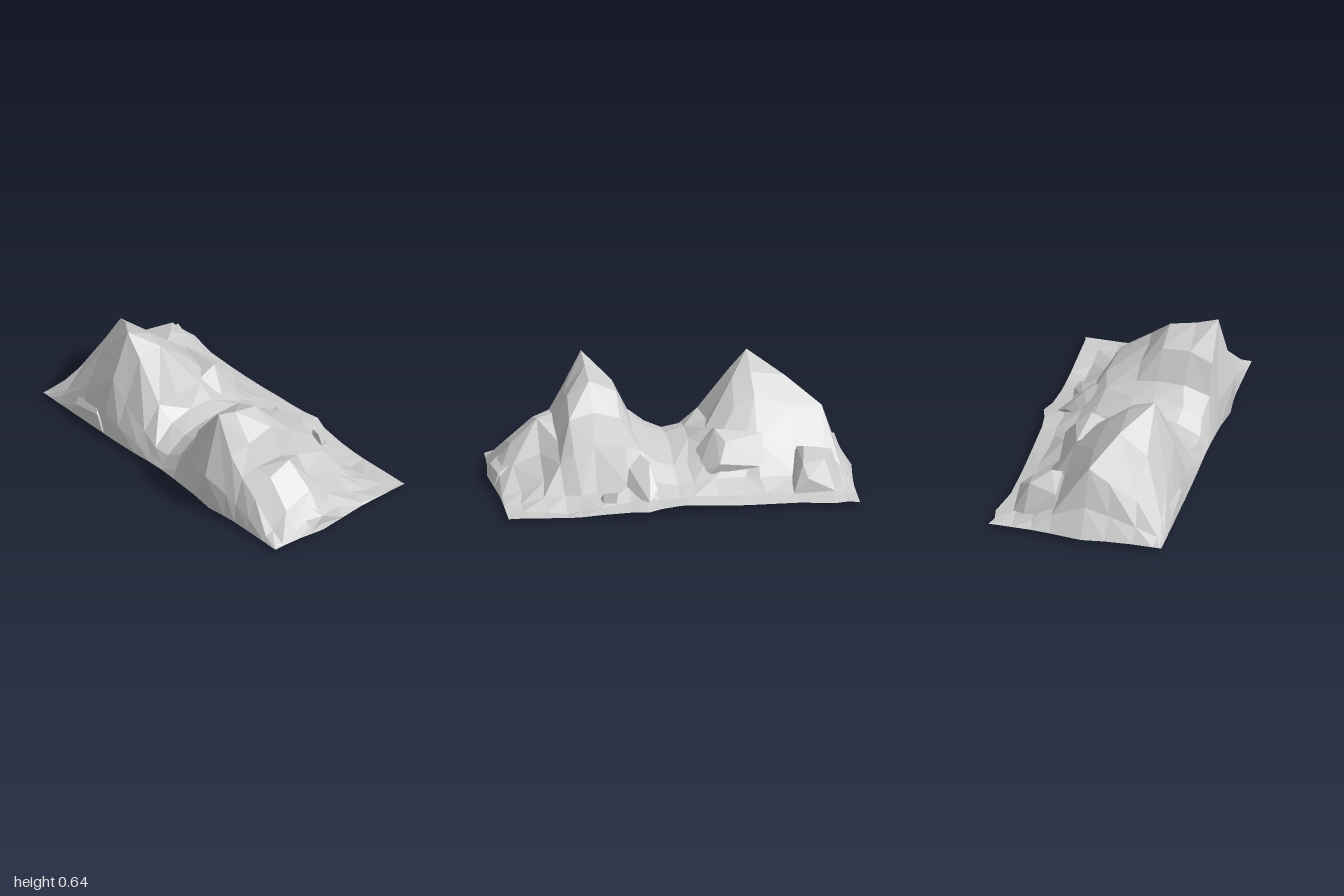
import * as THREE from 'three';
import { ConvexGeometry } from 'three/addons/geometries/ConvexGeometry.js';

const material = new THREE.MeshStandardMaterial({ color: 0xcccccc, flatShading: true, side: THREE.DoubleSide });

// Cross-sections from back to front: z, then the height at each inner column
const COLUMNS = [-0.42, -0.3, -0.15, -0.02, 0.16, 0.27, 0.38];
const SECTIONS = [
  [-0.91, 0.06, 0.1, 0.14, 0.18, 0.11, 0.06, 0.04],
  [-0.83, 0.11, 0.22, 0.31, 0.39, 0.18, 0.1, 0.05],
  [-0.65, 0.23, 0.41, 0.53, 0.41, 0.22, 0.11, 0.05],
  [-0.46, 0.37, 0.635, 0.56, 0.46, 0.28, 0.12, 0.06],
  [-0.36, 0.26, 0.52, 0.53, 0.41, 0.26, 0.12, 0.06],
  [-0.2, 0.17, 0.30, 0.29, 0.3, 0.23, 0.12, 0.06],
  [-0.08, 0.13, 0.22, 0.25, 0.24, 0.16, 0.1, 0.06],
  [0.01, 0.13, 0.2, 0.235, 0.22, 0.16, 0.09, 0.06],
  [0.12, 0.18, 0.24, 0.27, 0.25, 0.2, 0.12, 0.06],
  [0.2, 0.27, 0.32, 0.33, 0.3, 0.26, 0.15, 0.06],
  [0.29, 0.44, 0.49, 0.49, 0.39, 0.29, 0.11, 0.05],
  [0.44, 0.63, 0.59, 0.56, 0.42, 0.3, 0.08, 0.03],
  [0.55, 0.41, 0.44, 0.48, 0.39, 0.28, 0.07, 0.01],
  [0.63, 0.29, 0.31, 0.32, 0.27, 0.21, 0.06, 0.0],
  [0.74, 0.2, 0.3, 0.35, 0.2, 0.11, 0.05, 0.02],
  [0.87, 0.08, 0.17, 0.22, 0.14, 0.06, 0.03, 0.03],
  [0.95, 0.04, 0.07, 0.11, 0.09, 0.04, 0.03, 0.03],
];
const EDGE_Y = 0.03;

// Seeded value in -1..1 for small irregularities
let seed = 7;
function wobble() {
  seed = (seed * 16807) % 2147483647;
  return (seed / 2147483647) * 2 - 1;
}

const bump = (z, centre, width) => Math.exp(-(((z - centre) / width) ** 2));

function sectionPoints([z, ...heights]) {
  const bulge = bump(z, 0.44, 0.1);
  const left = -0.47 - 0.02 * bulge;
  const right = 0.465 + 0.04 * bump(z, 0.2, 0.08) + 0.04 * bump(z, -0.83, 0.12);
  const edgeY = EDGE_Y + 0.02 * bump(z, 0, 0.2);
  const inner = heights.map((y, i) => {
    const loose = y > 0.5 ? 0.2 : 1; // keep the summits in place
    return [COLUMNS[i] + wobble() * 0.015 * loose, y + wobble() * 0.006 * loose, z + wobble() * 0.016 * loose];
  });
  inner[6][1] = Math.max(inner[6][1], 0);
  // Flank between border and mound, overhanging beside the front summit
  const flank = [-0.455 - 0.065 * bulge, EDGE_Y + heights[0] * 0.37, z + wobble() * 0.01];
  return [[left, edgeY, z], flank, ...inner, [right, edgeY - 0.015 * bump(z, 0.6, 0.2), z]];
}

// Straight border at either end, slightly bowed
function endPoints(z, bowX) {
  return [-0.47, -0.455, ...COLUMNS, z < 0 ? 0.51 : 0.47].map((x) =>
    [x, EDGE_Y, z + Math.sign(z) * 0.03 * bump(x, bowX, 0.15)]);
}

function terrainGeometry() {
  const rows = [endPoints(-0.97, 0), ...SECTIONS.map(sectionPoints), endPoints(0.97, -0.13)];
  const n = rows[0].length;
  const index = [];
  for (let r = 0; r < rows.length - 1; r++) {
    for (let c = 0; c < n - 1; c++) {
      const a = r * n + c, b = a + 1, d = a + n, e = d + 1;
      // Split each cell along its higher diagonal, so ridges stay sharp
      const split = rows[r][c][1] + rows[r + 1][c + 1][1] > rows[r][c + 1][1] + rows[r + 1][c][1];
      if (split) index.push(a, d, e, a, e, b);
      else index.push(a, d, b, b, d, e);
    }
  }
  const geometry = new THREE.BufferGeometry();
  geometry.setAttribute('position', new THREE.Float32BufferAttribute(rows.flat(2), 3));
  geometry.setIndex(index);
  geometry.computeVertexNormals();
  return geometry;
}

// Angular boulders, each the hull of a few corners
const ROCKS = {
  backBoulder: [[0.15, 0.1, -0.89], [0.33, 0.08, -0.9], [0.4, 0.06, -0.85], [0.41, 0.06, -0.62], [0.15, 0.12, -0.63],
    [0.16, 0.21, -0.86], [0.22, 0.26, -0.7], [0.32, 0.22, -0.8], [0.4, 0.14, -0.7], [0.17, 0.24, -0.67], [0.33, 0.2, -0.68]],
  middleBoulder: [[0.14, 0.32, -0.48], [0.24, 0.16, -0.48], [0.12, 0.35, -0.22], [0.2, 0.3, -0.27], [0.27, 0.2, -0.23],
    [0.26, 0.14, -0.18], [0.08, 0.18, -0.09], [0.21, 0.13, -0.11], [-0.02, 0.29, -0.22]],
  flankBoulder: [[0.2, 0.26, 0.2], [0.26, 0.23, 0.16], [0.31, 0.16, 0.14], [0.32, 0.05, 0.2], [0.24, 0.05, 0.14],
    [0.2, 0.1, 0.28], [0.25, 0.2, 0.27], [0.3, 0.06, 0.3], [0.36, 0.11, 0.13], [0.42, 0.06, 0.18]],
  smallStone: [[0.33, 0.05, 0.36], [0.38, 0.05, 0.36], [0.33, 0.13, 0.36], [0.37, 0.11, 0.35],
    [0.33, 0.06, 0.44], [0.37, 0.05, 0.43], [0.33, 0.12, 0.41], [0.36, 0.1, 0.43]],
  leftLedge: [[-0.47, 0.04, -0.73], [-0.475, 0.04, -0.47], [-0.47, 0.1, -0.7], [-0.47, 0.13, -0.52],
    [-0.42, 0.17, -0.71], [-0.41, 0.21, -0.6], [-0.42, 0.05, -0.43]],
  frontBoulder: [[-0.23, 0.03, 0.985], [0.01, 0.03, 0.985], [-0.23, 0.1, 0.95], [-0.14, 0.11, 0.985], [-0.01, 0.1, 0.96],
    [0.04, 0.05, 0.9], [-0.2, 0.17, 0.88], [-0.04, 0.15, 0.88]],
};

export function createModel() {
  const group = new THREE.Group();
  group.name = 'rockyRidge';
  const add = (name, geometry) => {
    const mesh = new THREE.Mesh(geometry, material);
    mesh.name = name;
    group.add(mesh);
  };
  add('terrain', terrainGeometry());
  for (const [name, corners] of Object.entries(ROCKS)) {
    add(name, new ConvexGeometry(corners.map((p) => new THREE.Vector3(...p))));
  }
  return group;
}
